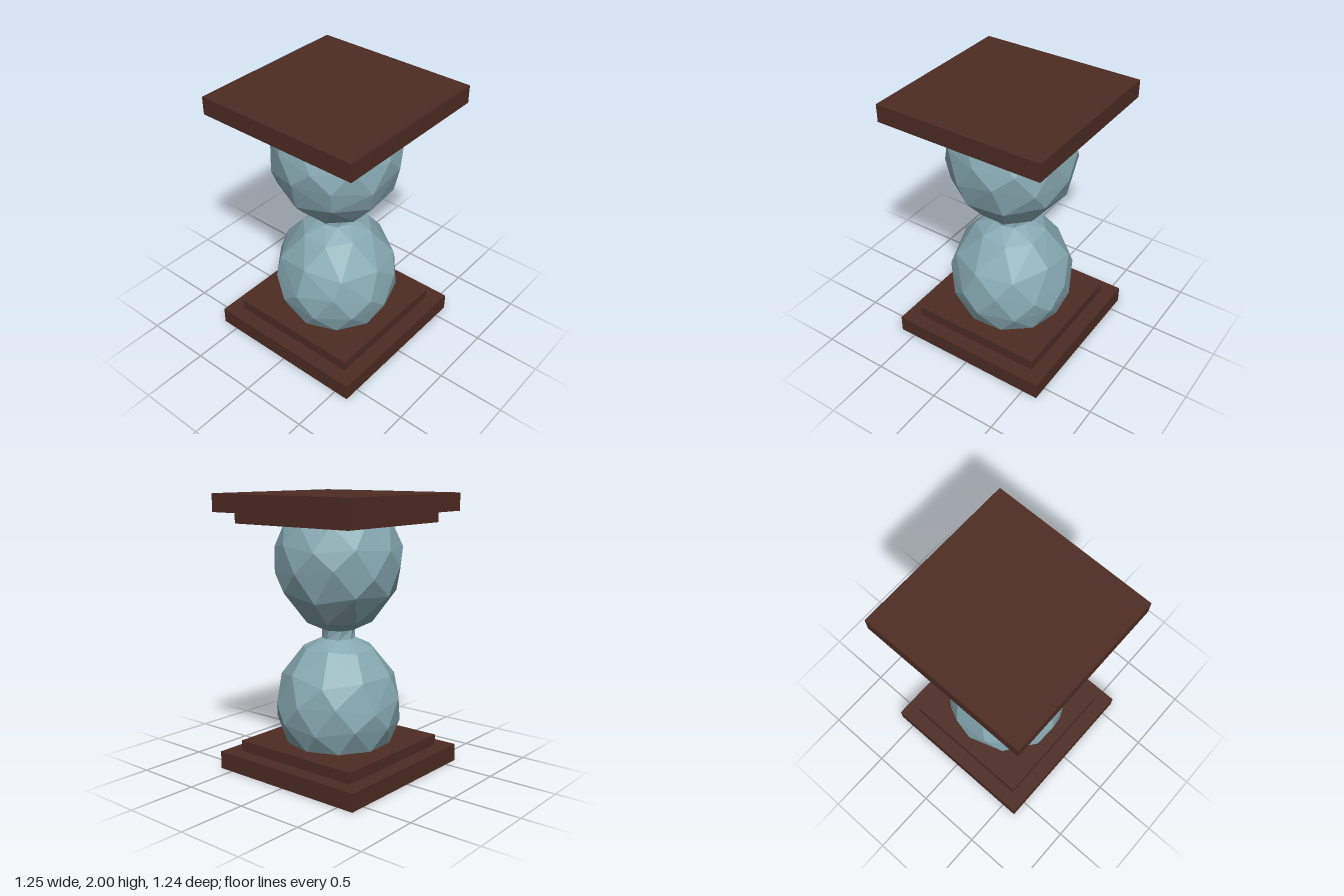
import * as THREE from 'three';
import { ConvexGeometry } from 'three/addons/geometries/ConvexGeometry.js';

const MID = 1.005; // height of the middle of the neck
const TWIST = 0.085; // angle offset of the neck ring

// Faceted lower bulb: staggered rings, slightly uneven, wrapped in a convex skin
function bulbGeometry() {
  const rings = [ // height, radius, count, phase, unevenness
    [0.97, 0.122, 8, TWIST, 0],
    [0.9, 0.262, 8, 0.39, 0.008],
    [0.71, 0.412, 9, 0.1, 0.03],
    [0.53, 0.46, 10, 0.3, 0.035],
    [0.37, 0.454, 10, 0.0, 0.02],
    [0.205, 0.385, 10, 0.25, 0],
  ];
  const points = [];
  rings.forEach(([y, r, n, phase, wobble], k) => {
    for (let i = 0; i < n; i++) {
      const a = phase + (i / n) * Math.PI * 2;
      const dy = wobble * Math.sin(i * 2.4 + k * 1.7);
      // keep the shifted point on the round surface
      const rr = r - dy * (y - 0.51) / r;
      points.push(new THREE.Vector3(Math.cos(a) * rr, y + dy - MID, Math.sin(a) * rr));
    }
  });
  return new ConvexGeometry(points);
}

// Short faceted neck, twisted to meet both bulbs
function neckGeometry() {
  const geo = new THREE.CylinderGeometry(0.12, 0.12, 0.075, 8, 1, true);
  const pos = geo.attributes.position;
  for (let i = 0; i < pos.count; i++) {
    const a = Math.atan2(pos.getZ(i), pos.getX(i)) - Math.sign(pos.getY(i)) * TWIST;
    pos.setX(i, Math.cos(a) * 0.12);
    pos.setZ(i, Math.sin(a) * 0.12);
  }
  geo.computeVertexNormals();
  return geo;
}

export function createModel() {
  const wood = new THREE.MeshStandardMaterial({ name: 'dark wood', color: 0x4e2c24 });
  const glass = new THREE.MeshStandardMaterial({ name: 'pale glass', color: 0x86a9b1, flatShading: true });
  const model = new THREE.Group();
  model.name = 'hourglass';

  const add = (parent, name, geo, mat, x, y) => {
    const mesh = new THREE.Mesh(geo, mat);
    mesh.name = name;
    mesh.position.set(x, y, 0);
    parent.add(mesh);
  };

  // Each half: square plate, smaller step and bulb; the upper half is the lower one turned over
  const bulb = bulbGeometry();
  for (const side of ['lower', 'upper']) {
    const half = new THREE.Group();
    half.name = side + 'Half';
    half.position.y = side === 'lower' ? MID : MID - 0.005;
    if (side === 'upper') half.rotation.z = Math.PI;
    const bottom = side === 'lower' ? -MID : -1;
    add(half, side + 'Plate', new THREE.BoxGeometry(1.236, 0.129, 1.236), wood, -0.008, bottom + 0.0645);
    add(half, side + 'Step', new THREE.BoxGeometry(1.018, 0.082, 1.018), wood, -0.008, bottom + 0.168);
    add(half, side + 'Bulb', bulb, glass, 0, 0);
    model.add(half);
  }

  add(model, 'neck', neckGeometry(), glass, 0, MID);
  return model;
}
